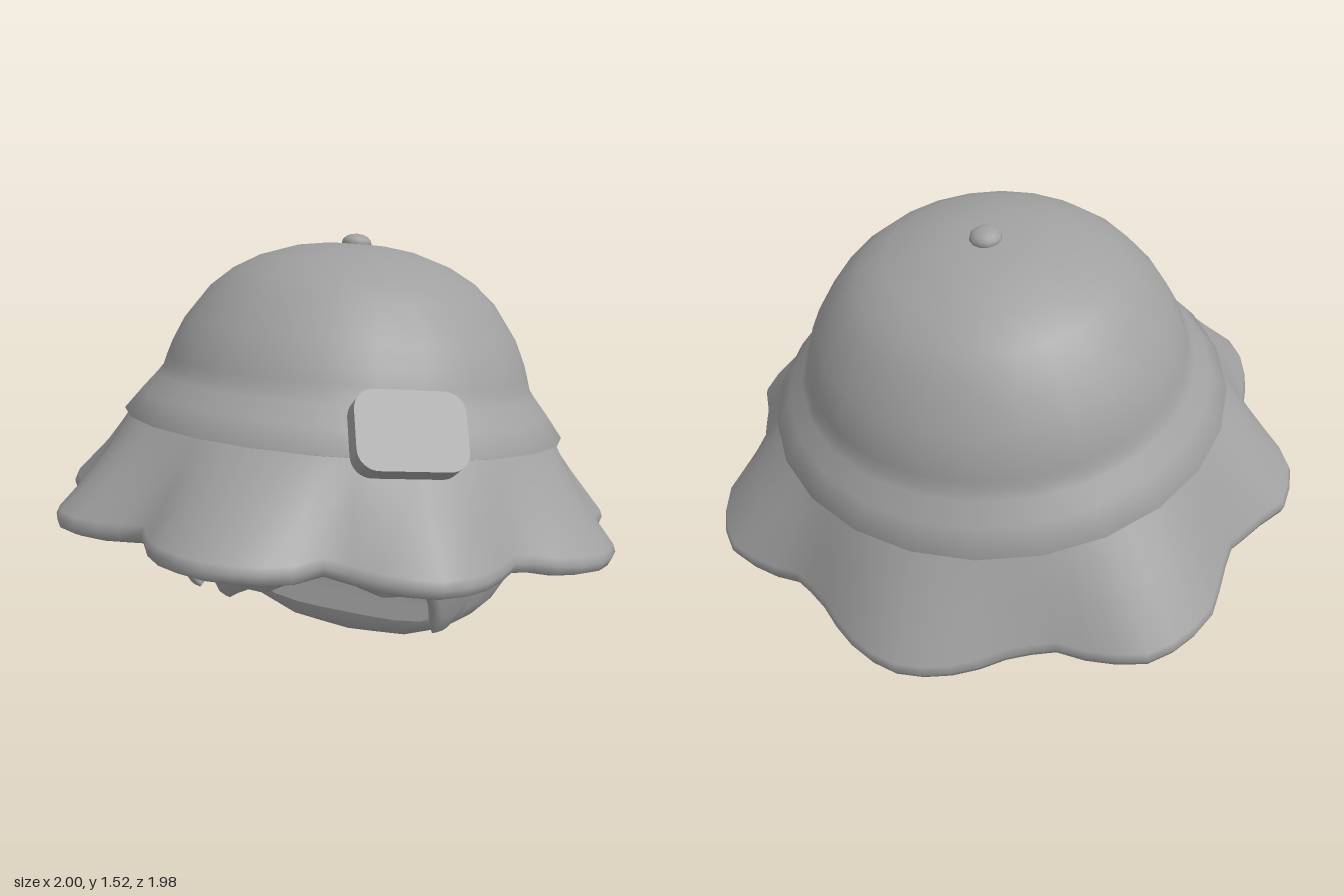
import * as THREE from 'three';

const TILT = -0.187; // the hat leans back
const V = (x, y, z) => new THREE.Vector3(x, y, z);

// Piecewise linear lookup in [[x, value], ...]
function lookup(table, x) {
  if (x <= table[0][0]) return table[0][1];
  for (let i = 1; i < table.length; i++) {
    const [x0, a] = table[i - 1], [x1, b] = table[i];
    if (x <= x1) return a + (b - a) * (x - x0) / (x1 - x0);
  }
  return table[table.length - 1][1];
}

// Smooth skin over rows of points; closed joins the end of each row to its start
function skin(rows, closed) {
  const n = rows[0].length, index = [];
  for (let i = 0; i < rows.length - 1; i++) {
    for (let j = 0; j < (closed ? n : n - 1); j++) {
      const a = i * n + j, b = i * n + (j + 1) % n;
      index.push(a, b, a + n, b, b + n, a + n);
    }
  }
  const g = new THREE.BufferGeometry().setFromPoints(rows.flat());
  g.setIndex(index);
  g.computeVertexNormals();
  return g;
}

const lathe = (pts) => new THREE.LatheGeometry(pts.map(p => new THREE.Vector2(...p)), 24);

// Wavy brim: rim radius by angle from the front, mirrored, with waves growing towards the rim
const rimRadius = [[0, 1.012], [8, 0.99], [13, 0.955], [20, 0.885], [29, 0.935], [38, 1.015], [46, 0.99], [54, 0.93],
  [61, 0.88], [67, 0.91], [73, 0.965], [81, 1.01], [90, 1], [96, 0.94], [106, 0.9], [113, 0.945], [121, 1.015],
  [129, 1.035], [136, 1.03], [143, 0.965], [150, 0.905], [158, 0.9], [166, 0.945], [173, 0.985], [180, 1]];

function brimGeometry() {
  const profile = [[0.715, 0.38, 0], [0.755, 0.335, 0.05], [0.84, 0.2, 0.5], [0.935, 0.06, 1], [0.945, 0.035, 1],
    [0.935, 0.008, 1], [0.915, 0, 1], [0.895, 0.03, 0.9], [0.82, 0.15, 0.5]];
  const rows = profile.map(([r, h, wave]) => {
    const row = [];
    for (let i = 0; i < 72; i++) {
      const deg = i * 5 - 180, a = deg * Math.PI / 180;
      const bulge = lookup(rimRadius, Math.abs(deg)) - 0.945;
      const q = r + wave * bulge;
      row.push(V(q * Math.sin(a), h + wave * Math.max(0, -bulge) * 0.35, q * Math.cos(a)));
    }
    return row;
  });
  return skin(rows, true);
}

// Fringe: curved sheet whose lower edge follows the locks (degrees, height)
function fringeGeometry() {
  const side = [[30, 0.545], [38, 0.495], [46, 0.485], [52, 0.475], [56, 0.43], [60, 0.33], [64, 0.265], [70, 0.255],
    [76, 0.305], [85, 0.43], [96, 0.56]];
  const edge = [...side.map(([a, y]) => [-a, y]).reverse(),
    [-25, 0.58], [-21, 0.66], [-18, 0.45], [-15, 0.44], [-11, 0.47], [-6, 0.5], [0, 0.5], [8, 0.55],
    [18, 0.62], [24, 0.64], ...side];
  const radius = [[0.25, 0.51], [0.3, 0.54], [0.42, 0.58], [0.65, 0.637], [0.85, 0.645]];
  const rows = [];
  for (let deg = -96; deg <= 96; deg += 1.5) {
    const a = deg * Math.PI / 180, low = lookup(edge, deg), row = [];
    const thick = Math.abs(deg) > 94 ? 0.01 : 0.045;
    const put = (y, inset) => {
      const r = lookup(radius, y) - inset;
      row.push(V(r * Math.sin(a), y, r * Math.cos(a)));
    };
    for (const t of [0, 0.3, 0.6, 0.85]) put(0.8 + (low - 0.8) * t, 0);
    put(low + 0.01, thick * 0.2);
    put(low, thick * 0.5);
    put(low + 0.01, thick * 0.8);
    for (const t of [0.85, 0.6, 0.3, 0]) put(0.8 + (low - 0.8) * t, thick);
    rows.push(row);
  }
  return skin(rows, false);
}

// Back hair: half outline of the silhouette and of the flat front as [outer x, y, inner x, y], bottom to top
const hairOutline = [[0, 0.003, 0, 0.1], [0.1, 0.012, 0.1, 0.1], [0.23, 0.025, 0.2, 0.103], [0.38, 0.085, 0.3, 0.117],
  [0.48, 0.16, 0.38, 0.152], [0.545, 0.23, 0.43, 0.2], [0.59, 0.31, 0.455, 0.26], [0.625, 0.42, 0.462, 0.38],
  [0.645, 0.58, 0.462, 0.55], [0.64, 0.72, 0.462, 0.72]];
const frontDepth = [[0.1, -0.1], [0.2, -0.122], [0.32, -0.138], [0.72, -0.13]];

// Rolled rim, then arcs that close in on the back of the head
function backHairGeometry() {
  const mirrored = hairOutline.slice(1).reverse().map(([a, b, c, d]) => [-a, b, -c, d]);
  const rows = [...mirrored, ...hairOutline].map(([ox, oy, ix, iy]) => {
    const front = lookup(frontDepth, iy), edge = front - 0.055;
    const row = [V(ix, iy, front)];
    row.push(V(ix + (ox - ix) * 0.6, iy + (oy - iy) * 0.6, front - 0.012));
    row.push(V(ix + (ox - ix) * 0.92, iy + (oy - iy) * 0.92, front - 0.034));
    for (let i = 0; i <= 12; i++) {
      const t = i / 12 * Math.PI / 2;
      row.push(V(ox * Math.cos(t), 0.6 + (oy - 0.6) * Math.cos(t), edge + (-0.715 - edge) * Math.sin(t)));
    }
    return row;
  });
  return skin(rows, false);
}

// Flat front of the back hair
function hairFaceGeometry() {
  return skin(hairOutline.map(([, , x, y]) => {
    const z = lookup(frontDepth, y);
    return [V(-x, y, z), V(0, y, z), V(x, y, z)];
  }), false);
}

// Rounded badge plate
function plateGeometry(w, h, r, depth) {
  const x = w / 2, y = h / 2, s = new THREE.Shape();
  s.absarc(x - r, y - r, r, 0, Math.PI / 2);
  s.absarc(-x + r, y - r, r, Math.PI / 2, Math.PI);
  s.absarc(-x + r, -y + r, r, Math.PI, Math.PI * 1.5);
  s.absarc(x - r, -y + r, r, Math.PI * 1.5, Math.PI * 2);
  const g = new THREE.ExtrudeGeometry(s, { depth, curveSegments: 4, bevelEnabled: false });
  return g.translate(0, 0, -depth / 2);
}

export function createModel() {
  const model = new THREE.Group();
  model.name = 'hatAndHair';
  const grey = new THREE.MeshStandardMaterial({ color: 0xa0a0a0, side: THREE.DoubleSide });
  grey.name = 'grey';
  const add = (parent, name, geometry) => {
    const mesh = new THREE.Mesh(geometry, grey);
    mesh.name = name;
    parent.add(mesh);
    return mesh;
  };

  // Hat, built upright and then leaned back
  const hat = new THREE.Group();
  hat.name = 'hat';
  hat.position.y = 0.54;
  hat.rotation.x = TILT;
  model.add(hat);
  const crown = add(hat, 'crownAndBand', lathe([[0.73, 0.345], [0.768, 0.355], [0.71, 0.43], [0.66, 0.49],
    [0.642, 0.515], [0.632, 0.55], [0.615, 0.6], [0.578, 0.68], [0.495, 0.795], [0.42, 0.86], [0.33, 0.91],
    [0.2, 0.952], [0.1, 0.966], [0, 0.97]]));
  crown.position.z = -0.012;
  add(hat, 'brim', brimGeometry());
  const lining = add(hat, 'lining', new THREE.CircleGeometry(0.83, 32));
  lining.rotation.x = Math.PI / 2;
  lining.position.y = 0.11;
  const button = add(hat, 'button', new THREE.SphereGeometry(0.052, 12, 8));
  button.scale.y = 0.6;
  button.position.set(0, 0.972, -0.015);
  const plate = add(hat, 'badge', plateGeometry(0.345, 0.25, 0.065, 0.075));
  plate.position.set(0.45, 0.433, 0.608);
  plate.rotation.set(-0.5, 0.64, 0, 'YXZ');

  // Hair
  add(model, 'fringe', fringeGeometry());
  add(model, 'backHair', backHairGeometry());
  add(model, 'hairFace', hairFaceGeometry());
  return model;
}
